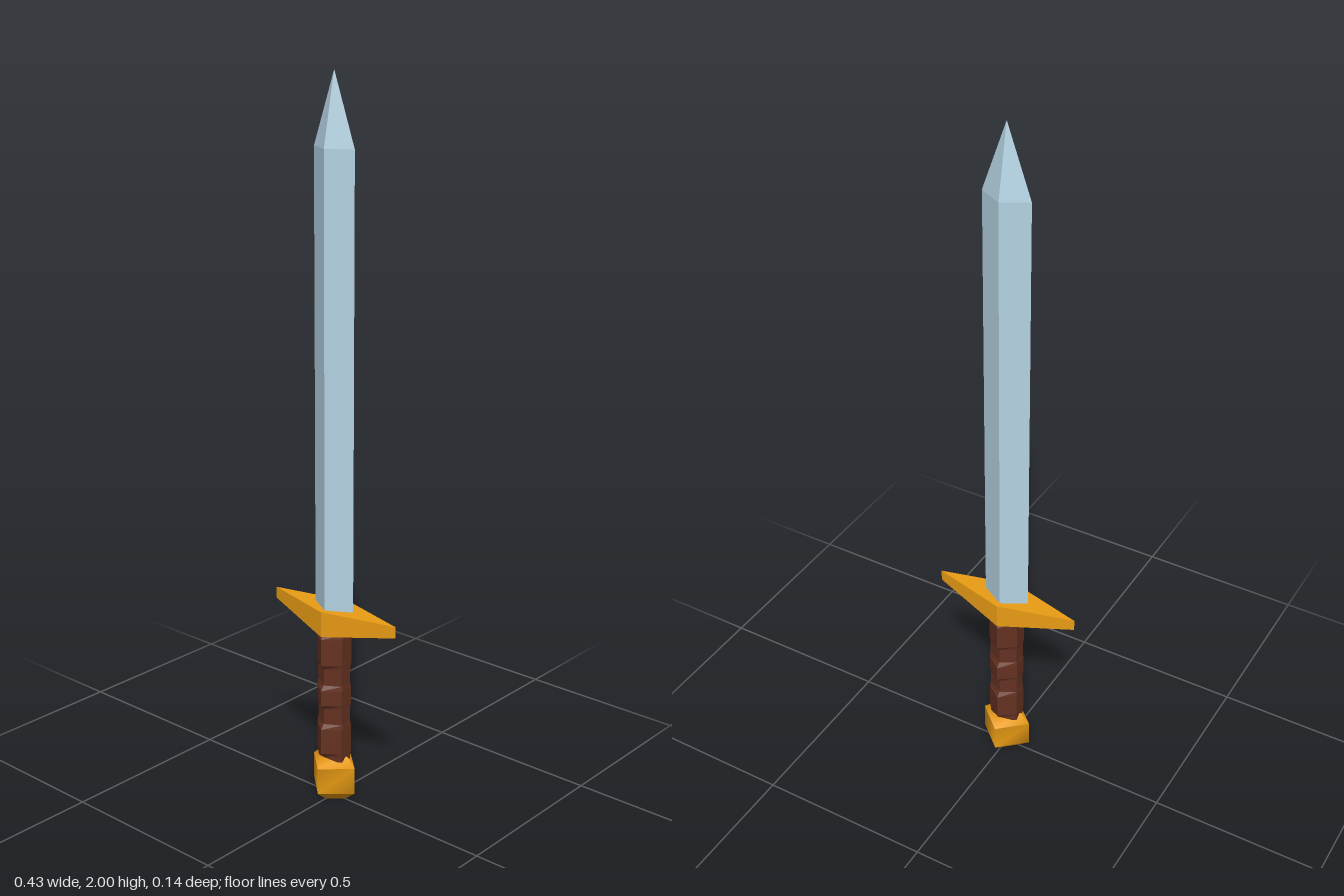
import * as THREE from 'three';
import { mergeGeometries } from 'three/addons/utils/BufferGeometryUtils.js';

const steel = new THREE.MeshStandardMaterial({ color: 0xb4d2e2, flatShading: true });
const gold = new THREE.MeshStandardMaterial({ color: 0xeb9d14, flatShading: true });
const smoothGold = new THREE.MeshStandardMaterial({ color: 0xeb9d14 });
const leather = new THREE.MeshStandardMaterial({ color: 0x653222, flatShading: true });

// Cross-sections, counter-clockwise seen from the front of the xz plane (+x towards +z)
const diamond = (x, y, z) => [[x, y, 0], [0, y, z], [-x, y, 0], [0, y, -z]];
const hexagon = (x, y, z, flat) => [
  [x, y, flat], [0, y, z], [-x, y, flat], [-x, y, -flat], [0, y, -z], [x, y, -flat],
];

function bufferOf(points, index) {
  const g = new THREE.BufferGeometry();
  g.setAttribute('position', new THREE.Float32BufferAttribute(points.flat(), 3));
  g.setIndex(index);
  g.computeVertexNormals();
  return g;
}

// Joins rings from bottom to top; each band keeps its own normals so bevels stay sharp
function loft(rings) {
  const n = rings[0].length;
  const parts = [];
  for (let r = 0; r < rings.length - 1; r++) {
    const index = [];
    for (let i = 0; i < n; i++) {
      const j = (i + 1) % n;
      index.push(i, n + i, j, j, n + i, n + j);
    }
    parts.push(bufferOf([...rings[r], ...rings[r + 1]], index));
  }
  const bottom = [], top = [];
  for (let i = 1; i < n - 1; i++) {
    bottom.push(0, i, i + 1);
    top.push(0, i + 1, i);
  }
  parts.push(bufferOf(rings[0], bottom), bufferOf(rings[rings.length - 1], top));
  return mergeGeometries(parts);
}

function add(group, name, geometry, material) {
  const mesh = new THREE.Mesh(geometry, material);
  mesh.name = name;
  group.add(mesh);
}

export function createModel() {
  const sword = new THREE.Group();
  sword.name = 'sword';

  // Diamond-section blade tapering to a point
  add(sword, 'blade', loft([
    diamond(0.068, 0.56, 0.039),
    diamond(0.068, 1.81, 0.039),
    diamond(0.0005, 2, 0.0005),
  ]), steel);

  // Crossguard: flat diamond top, underside sloping up towards both ends
  const under = diamond(0.215, 0.5, 0.055);
  under[0][1] = under[2][1] = 0.54;
  const guard = loft([under, diamond(0.215, 0.573, 0.055)]);
  // Fold the underside along the middle (front to back) line
  const fold = bufferOf(under, [0, 1, 3, 1, 2, 3]);
  const bottomStart = 24; // the four side quads come first
  const indices = [...guard.index.array];
  for (let i = 0; i < 6; i++) indices[bottomStart + i] = fold.index.array[i] + 8;
  guard.setIndex(indices);
  add(sword, 'crossguard', guard, gold);

  // Grip core with three thicker leather bands
  const grip = new THREE.Group();
  grip.name = 'grip';
  add(grip, 'gripCore', loft([
    hexagon(0.043, 0.12, 0.042, 0.018),
    hexagon(0.043, 0.51, 0.042, 0.018),
  ]), leather);
  for (const [low, high] of [[0.133, 0.235], [0.28, 0.352], [0.4, 0.505]]) {
    add(grip, 'gripBand', loft([
      hexagon(0.044, low, 0.044, 0.018),
      hexagon(0.045, low + 0.014, 0.055, 0.02),
      hexagon(0.045, high - 0.014, 0.055, 0.02),
      hexagon(0.044, high, 0.044, 0.018),
    ]), leather);
  }
  sword.add(grip);

  // Bevelled pommel
  add(sword, 'pommel', loft([
    diamond(0.04, 0, 0.036),
    diamond(0.076, 0.028, 0.069),
    diamond(0.076, 0.105, 0.069),
    diamond(0.045, 0.132, 0.042),
  ]), smoothGold);

  return sword;
}
